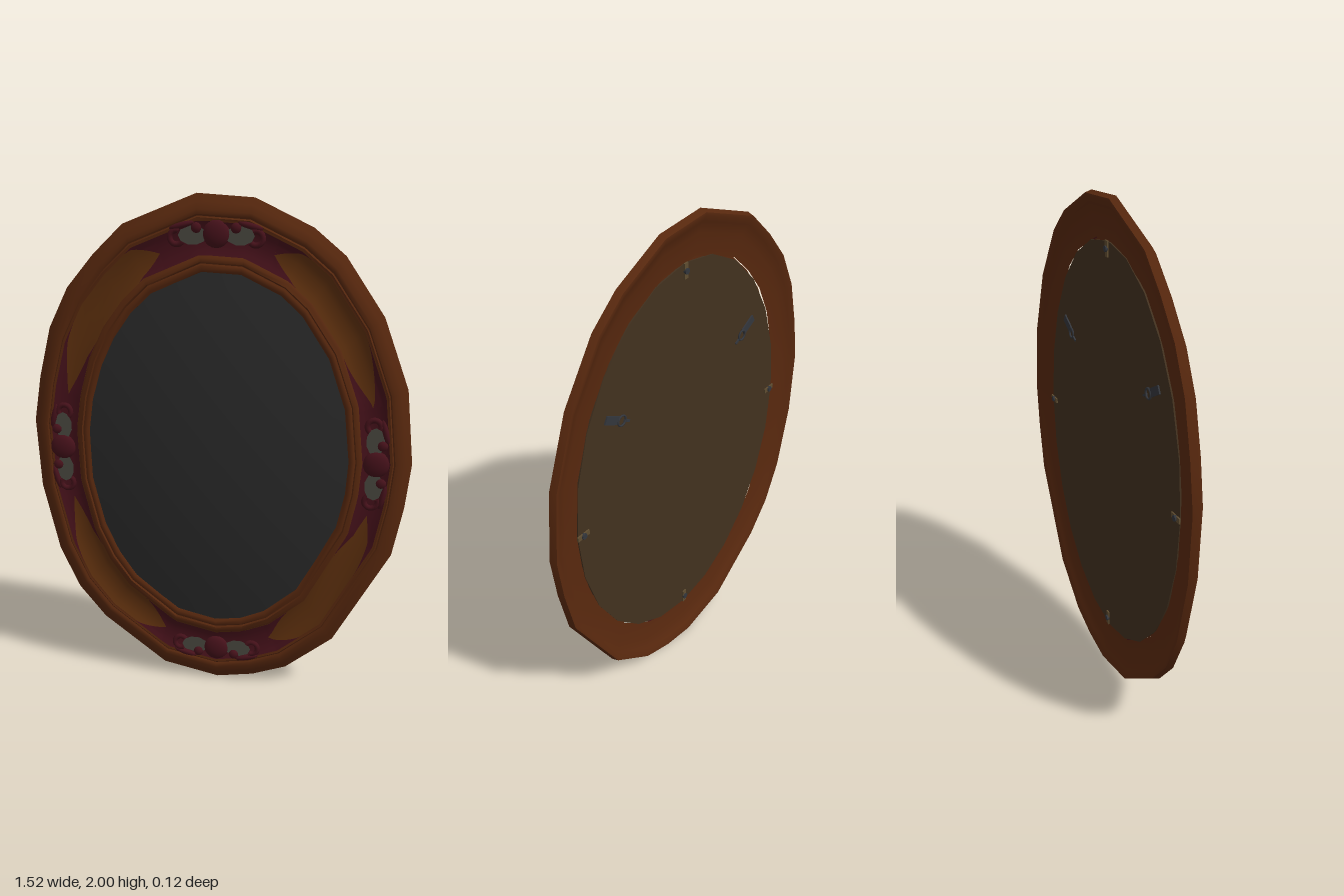
import * as THREE from 'three';
import { toCreasedNormals } from 'three/addons/utils/BufferGeometryUtils.js';

const mat = (name, color, side = THREE.FrontSide) => {
  const m = new THREE.MeshStandardMaterial({ color, side });
  m.name = name;
  return m;
};

// Hand-cut outer outline, counter-clockwise from the model's left
const OUTLINE = [
  [0.76, 1], [0.73, 1.29], [0.63, 1.56], [0.48, 1.78], [0.36, 1.88], [0.14, 1.985],
  [-0.08, 2], [-0.37, 1.885], [-0.49, 1.77], [-0.6, 1.64], [-0.68, 1.48], [-0.73, 1.28],
  [-0.76, 1.1], [-0.745, 0.82], [-0.68, 0.54], [-0.6, 0.37], [-0.49, 0.24], [-0.23, 0.05],
  [0, 0.005], [0.15, 0.03], [0.29, 0.08], [0.48, 0.23], [0.7, 0.62], [0.74, 0.82],
];
const TAU = Math.PI * 2;
const ANGLES = OUTLINE.map(([x, y]) => (Math.atan2(y - 1, x / 0.755) + TAU) % TAU);

// Point on the frame: angle t, fraction f from outer edge (0) to opening (1)
function corner(i, f) {
  const [x, y] = OUTLINE[i], a = ANGLES[i];
  return [x + (0.52 * Math.cos(a) - x) * f, y + (1.005 + 0.715 * Math.sin(a) - y) * f];
}
function framePoint(t, f) {
  t = ((t % TAU) + TAU) % TAU;
  let i = ANGLES.length - 1;
  while (i > 0 && ANGLES[i] > t) i--;
  const j = (i + 1) % ANGLES.length;
  const end = j === 0 ? TAU : ANGLES[j];
  const k = (t - ANGLES[i]) / (end - ANGLES[i]);
  const p = corner(i, f), q = corner(j, f);
  return [p[0] + (q[0] - p[0]) * k, p[1] + (q[1] - p[1]) * k];
}

// Grid of rows around the frame, each a list of [x, y, z]
function grid(rows, closed) {
  const n = rows[0].length, idx = [];
  const count = closed ? rows.length : rows.length - 1;
  for (let i = 0; i < count; i++) {
    const a = i * n, b = ((i + 1) % rows.length) * n;
    for (let j = 0; j < n - 1; j++) idx.push(a + j, b + j, b + j + 1, a + j, b + j + 1, a + j + 1);
  }
  const g = new THREE.BufferGeometry();
  g.setAttribute('position', new THREE.Float32BufferAttribute(rows.flat(2), 3));
  g.setIndex(idx);
  return toCreasedNormals(g, 0.8);
}

// Profiles as [fraction, z]
const RIM = [[0.6, -0.03], [0.3, -0.037], [0.15, -0.05], [0.07, -0.062], [0.03, -0.062], [0, -0.035],
  [0.1, -0.016], [0.2, -0.002], [0.26, -0.002], [0.28, -0.007], [0.3, -0.002], [0.34, -0.003]];
const COVE = [[0.34, -0.003], [0.42, -0.011], [0.52, -0.015], [0.64, -0.014], [0.72, -0.009], [0.78, -0.003]];
const BEAD = [[0.78, -0.003], [0.82, 0.006], [0.87, 0.007], [0.89, 0.002], [0.91, 0.007],
  [0.97, 0.008], [1, 0.002], [1, -0.022], [0.6, -0.022]];
const ring = (profile) =>
  grid(ANGLES.map((t) => profile.map(([f, z]) => [...framePoint(t, f), z])), true);

function coveZ(f) {
  for (let i = 1; i < COVE.length; i++) {
    const [f0, z0] = COVE[i - 1], [f1, z1] = COVE[i];
    if (f <= f1) return z0 + ((z1 - z0) * (f - f0)) / (f1 - f0);
  }
  return COVE[COVE.length - 1][1];
}

// Thin inlay lying on the cove between angles t0 and t1; range(k) gives its edges
function inlay(t0, t1, range, steps = 12) {
  const rows = [];
  for (let i = 0; i <= steps; i++) {
    const k = i / steps, t = t0 + (t1 - t0) * k, [a, b] = range(k), row = [];
    for (let j = 0; j <= 6; j++) {
      const f = a + ((b - a) * j) / 6;
      row.push([...framePoint(t, f), coveZ(f) + 0.004]);
    }
    rows.push(row);
  }
  return grid(rows, false);
}

export function createModel() {
  const model = new THREE.Group();
  model.name = 'ovalFrame';
  const wood = mat('rimWood', 0x58280e);
  const lightWood = mat('coveWood', 0x5e300e);
  const red = mat('redInlay', 0x45111a, THREE.DoubleSide);
  const grey = mat('greyInset', 0x4a4840, THREE.DoubleSide);
  const glass = mat('darkGlass', 0x2a2a2a);
  const board = mat('backingBoard', 0x42311f);
  const brass = mat('clipMetal', 0x5e4c30);
  const steel = mat('hangerMetal', 0x33363c);

  const add = (parent, name, geo, material, x = 0, y = 0, z = 0) => {
    const m = new THREE.Mesh(geo, material);
    m.name = name;
    m.position.set(x, y, z);
    parent.add(m);
    return m;
  };

  // Moulded frame
  add(model, 'outerRim', ring(RIM), wood);
  add(model, 'cove', ring(COVE), lightWood);
  add(model, 'innerBead', ring(BEAD), wood);

  // Domed glass
  const dome = [];
  for (let i = 0; i <= 10; i++) {
    const r = 1 - i / 10;
    dome.push(new THREE.Vector2(r, 0.06 * (1 - r * r)));
  }
  const glassGeo = new THREE.LatheGeometry(dome, 40).rotateX(Math.PI / 2).scale(0.528, 0.725, 1);
  add(model, 'glass', glassGeo, glass, 0, 1.005, -0.001);

  // Backing board
  const boardGeo = new THREE.CylinderGeometry(1, 1, 0.006, 24).rotateX(Math.PI / 2).scale(0.615, 0.825, 1);
  add(model, 'backBoard', boardGeo, board, 0, 1.003, -0.03);

  // Red inlays with swallow tails and carved ornaments at the four quarters
  const quarters = [
    { t: 0, half: 0.26, tail: 0.3, x: 0.625, y: 1 },
    { t: Math.PI / 2, half: 0.36, tail: 0.2, x: 0, y: 1.855 },
    { t: Math.PI, half: 0.26, tail: 0.34, x: -0.635, y: 1 },
    { t: Math.PI * 1.5, half: 0.36, tail: 0.2, x: 0, y: 0.155 },
  ];
  for (const q of quarters) {
    add(model, 'inlayPanel', inlay(q.t - q.half, q.t + q.half, () => [0.34, 0.78]), red);
    for (const s of [-1, 1]) {
      const a = q.t + s * q.half, b = a + s * q.tail;
      const w = (k) => 0.22 * Math.pow(1 - k, 1.6);
      add(model, 'outerInlayTail', inlay(a, b, (k) => [0.34, 0.34 + w(k)]), red);
      add(model, 'innerInlayTail', inlay(a, b, (k) => [0.78 - w(k), 0.78]), red);
    }

    const o = new THREE.Group();
    o.name = 'carvedOrnament';
    o.position.set(q.x, q.y, 0);
    o.rotation.z = q.t - Math.PI / 2;
    model.add(o);
    add(o, 'boss', new THREE.SphereGeometry(0.052, 14, 10).scale(1, 1, 0.4), red, 0, 0, -0.006);
    for (const s of [-1, 1]) {
      add(o, 'greyInset', new THREE.CircleGeometry(1, 10).scale(0.055, 0.036, 1), grey, s * 0.09, -0.006, -0.002);
      add(o, 'bead', new THREE.SphereGeometry(0.02, 8, 6).scale(1, 1, 0.6), red, s * 0.075, 0.022, 0);
      const scroll = new THREE.TorusGeometry(0.026, 0.011, 6, 12, 4.4).scale(1, 1, 0.9);
      const m = add(o, 'scroll', scroll, red, s * 0.15, -0.014, 0);
      m.rotation.z = s > 0 ? -2.4 : 1.2;
      const leaf = new THREE.SphereGeometry(1, 10, 6).scale(0.05, 0.012, 0.012);
      add(o, 'leaf', leaf, red, s * 0.13, 0.03, 0).rotation.z = -s * 0.25;
    }
  }

  // Turn clips around the board
  for (const [x, y, r] of [[0.59, 1, 0], [-0.59, 1, 0], [0, 1.8, 1], [0, 0.21, 1]]) {
    const c = new THREE.Group();
    c.name = 'turnClip';
    c.position.set(x, y, -0.037);
    c.rotation.z = r * Math.PI / 2;
    model.add(c);
    add(c, 'clipPlate', new THREE.BoxGeometry(0.06, 0.02, 0.006), brass);
    add(c, 'clipScrew', new THREE.CylinderGeometry(0.012, 0.012, 0.01, 8).rotateX(Math.PI / 2), steel, 0, 0, -0.004);
  }

  // Strap hangers with rings
  for (const s of [-1, 1]) {
    const h = new THREE.Group();
    h.name = 'hanger';
    h.position.set(s * 0.39, 1.39, -0.036);
    h.rotation.z = s > 0 ? 0.5 : Math.PI - 0.5;
    model.add(h);
    add(h, 'strap', new THREE.BoxGeometry(0.075, 0.032, 0.006), steel, 0.02, 0, 0);
    add(h, 'ring', new THREE.TorusGeometry(0.02, 0.004, 6, 12), steel, -0.032, 0, -0.003);
    add(h, 'ringTip', new THREE.BoxGeometry(0.03, 0.008, 0.006), steel, -0.062, 0, -0.002);
  }
  return model;
}
